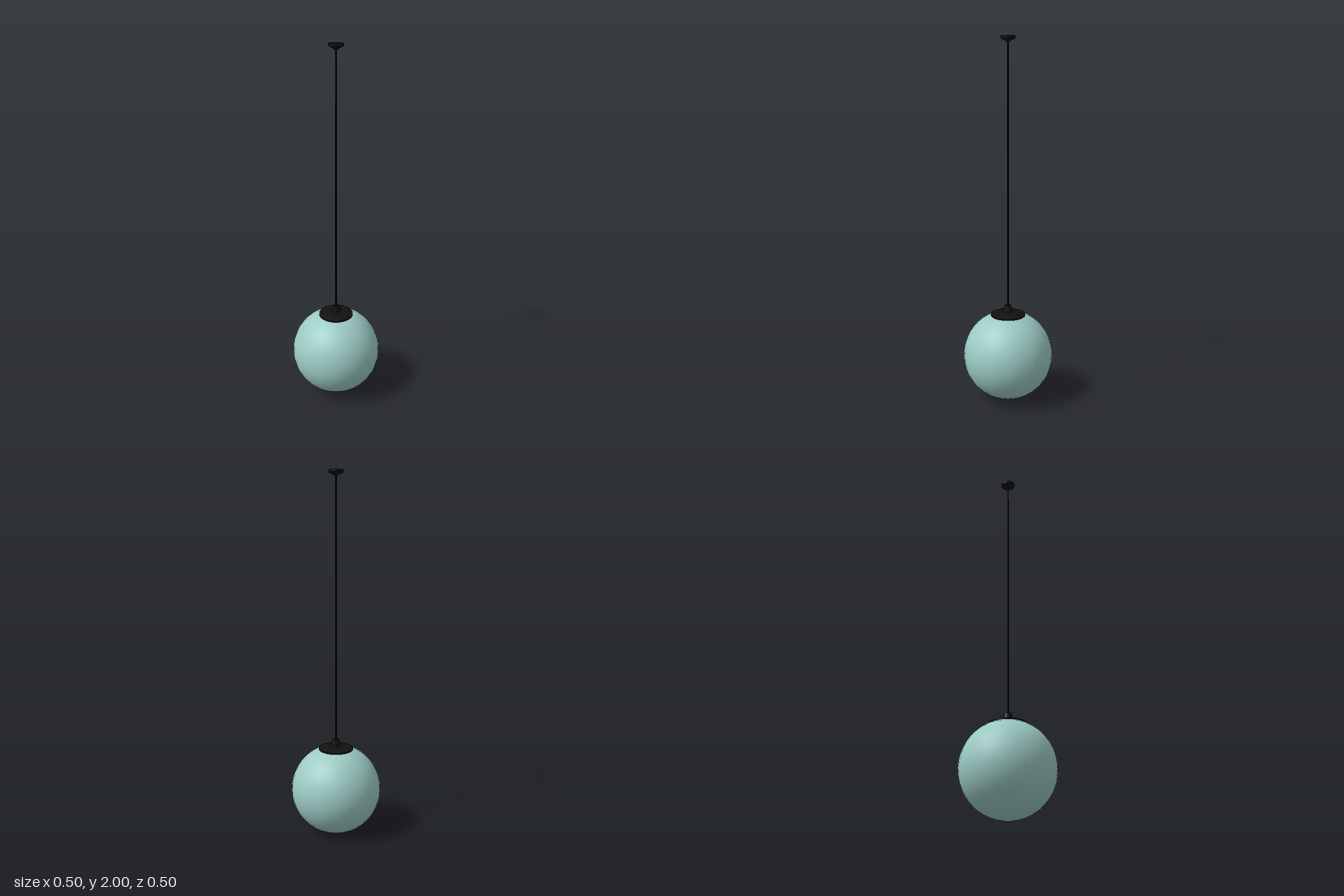
import * as THREE from 'three';
import { toCreasedNormals } from 'three/addons/utils/BufferGeometryUtils.js';

export function createModel() {
  const group = new THREE.Group();
  const glass = new THREE.MeshStandardMaterial({ color: 0x9ccac4 });
  const black = new THREE.MeshStandardMaterial({ color: 0x111111 });

  const add = (name, geometry, material, y = 0) => {
    const mesh = new THREE.Mesh(geometry, material);
    mesh.name = name;
    mesh.position.y = y;
    group.add(mesh);
  };
  // Turned part from [radius, height] pairs, listed from bottom to top
  const turned = (profile) => toCreasedNormals(
    new THREE.LatheGeometry(profile.map(([r, y]) => new THREE.Vector2(r, y)), 32), 0.5);

  // Globe shade
  add('globeShade', new THREE.SphereGeometry(0.251, 32, 24), glass, 0.251);

  // Shallow cap over the globe, rising into a tapered neck
  add('shadeCap', turned([
    [0, 0.484], [0.096, 0.484], [0.096, 0.491], [0.07, 0.498],
    [0.026, 0.507], [0.019, 0.541], [0, 0.541],
  ]), black);

  // Suspension cord
  add('cord', new THREE.CylinderGeometry(0.005, 0.005, 1.45, 12), black, 1.255);

  // Ceiling canopy
  add('ceilingCanopy', turned([
    [0, 1.968], [0.008, 1.968], [0.015, 1.974], [0.039, 1.986], [0.039, 2], [0, 2],
  ]), black);

  return group;
}
